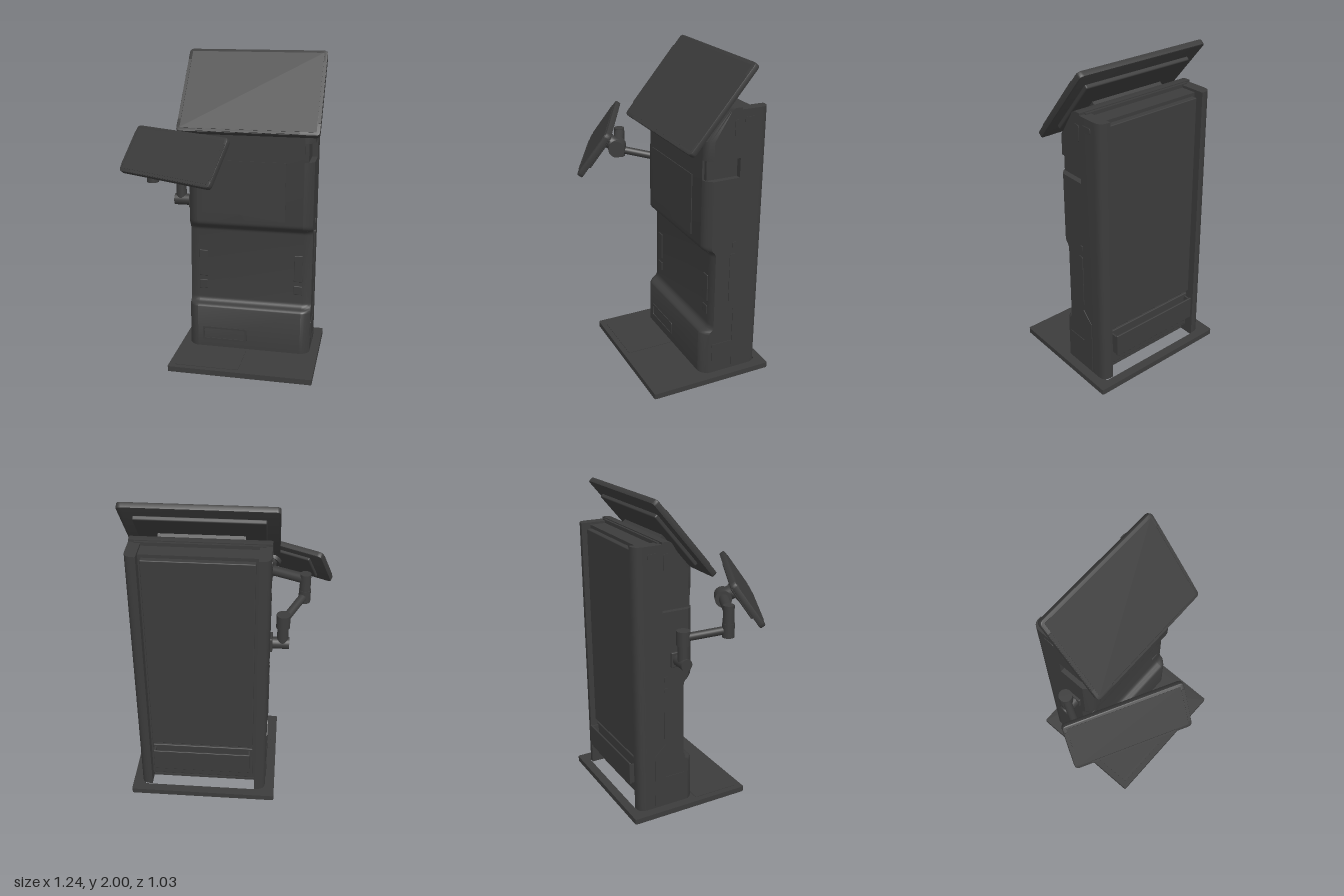
import * as THREE from 'three';
import { toCreasedNormals } from 'three/addons/utils/BufferGeometryUtils.js';
import { RoundedBoxGeometry } from 'three/addons/geometries/RoundedBoxGeometry.js';

const mat = new THREE.MeshStandardMaterial({ color: 0x3c3c3c, side: THREE.DoubleSide });
const CX = 0.155; // middle of the column
const V = (x, y, z) => new THREE.Vector3(x, y, z);

function add(parent, name, geo) {
  const m = new THREE.Mesh(geo, mat);
  m.name = name;
  parent.add(m);
  return m;
}

// box given by its limits
function box(parent, name, x0, x1, y0, y1, z0, z1, r = 0) {
  const s = [x1 - x0, y1 - y0, z1 - z0];
  const geo = r ? new RoundedBoxGeometry(...s, 2, r) : new THREE.BoxGeometry(...s);
  const m = add(parent, name, geo);
  m.position.set((x0 + x1) / 2, (y0 + y1) / 2, (z0 + z1) / 2);
  return m;
}

function roundRect(x0, x1, y0, y1, r, Type = THREE.Shape) {
  const s = new Type();
  s.moveTo(x0 + r, y0);
  s.lineTo(x1 - r, y0); s.quadraticCurveTo(x1, y0, x1, y0 + r);
  s.lineTo(x1, y1 - r); s.quadraticCurveTo(x1, y1, x1 - r, y1);
  s.lineTo(x0 + r, y1); s.quadraticCurveTo(x0, y1, x0, y1 - r);
  s.lineTo(x0, y0 + r); s.quadraticCurveTo(x0, y0, x0 + r, y0);
  return s;
}

function extrude(shape, depth, bevel = 0, steps = 1) {
  const geo = new THREE.ExtrudeGeometry(shape, {
    depth: depth - 2 * bevel, steps, curveSegments: 6, bevelEnabled: bevel > 0,
    bevelSize: bevel, bevelOffset: -bevel, bevelThickness: bevel, bevelSegments: 2,
  });
  geo.translate(0, 0, bevel);
  return toCreasedNormals(geo, 0.6);
}

// flat plate lying level; the shape is drawn in x and -z
const level = (shape, y0, y1) => extrude(shape, y1 - y0).rotateX(-Math.PI / 2).translate(0, y0, 0);
// side profile drawn in z and y, running from x0 to x1
const across = (shape, x0, x1, steps) => extrude(shape, x1 - x0, 0, steps).rotateY(-Math.PI / 2).translate(x1, 0, 0);

// pulls the front back towards the outer side, which rounds the column's front corners
function roundCorner(geo) {
  const p = geo.attributes.position;
  for (let i = 0; i < p.count; i++) {
    const t = THREE.MathUtils.clamp((Math.abs(p.getX(i) - CX) - 0.345) / 0.06, 0, 1);
    const k = THREE.MathUtils.clamp((p.getZ(i) + 0.155) / 0.09, 0, 1);
    p.setZ(i, p.getZ(i) - 0.045 * k * t * t);
  }
  return toCreasedNormals(geo, 0.6);
}

// cylinder between two points
function rod(parent, name, a, b, r) {
  const m = add(parent, name, new THREE.CylinderGeometry(r, r, a.distanceTo(b), 24));
  m.position.copy(a).lerp(b, 0.5);
  m.quaternion.setFromUnitVectors(V(0, 1, 0), b.clone().sub(a).normalize());
  return m;
}

// lower half of the front cover, with the kick-in between foot and chest
function lowerProfile(top) {
  const s = new THREE.Shape();
  s.moveTo(-0.28, 0.035); s.lineTo(-0.065, 0.035); s.lineTo(-0.065, 0.31);
  s.quadraticCurveTo(-0.067, 0.33, -0.095, 0.337);
  s.quadraticCurveTo(-0.125, 0.345, -0.125, 0.375);
  s.lineTo(-0.125, 0.84);
  s.quadraticCurveTo(-0.125, 0.865, -0.095, 0.878);
  s.quadraticCurveTo(-0.065, 0.89, -0.065, 0.92);
  s.lineTo(-0.065, top);
  return s;
}

function slopeTop(s) {
  s.lineTo(-0.065, 1.565); s.lineTo(-0.215, 1.735);
  s.quadraticCurveTo(-0.225, 1.748, -0.24, 1.748);
  s.lineTo(-0.28, 1.748);
  return s;
}

function buildBase(g) {
  const lower = roundRect(-0.31, 0.617, -0.285, 0.515, 0.012);
  lower.holes.push(roundRect(-0.27, 0.58, 0.08, 0.49, 0.06, THREE.Path));
  add(g, 'baseLower', level(lower, 0, 0.02));
  const upper = roundRect(-0.31, 0.617, -0.285, 0.515, 0.012);
  upper.holes.push(roundRect(-0.18, 0.54, 0.36, 0.46, 0.005, THREE.Path));
  upper.holes.push(roundRect(0.02, 0.29, 0.14, 0.27, 0.005, THREE.Path));
  add(g, 'baseUpper', level(upper, 0.02, 0.035));
  add(g, 'baseCover', level(roundRect(-0.27, 0.145, -0.25, 0.06, 0.02), 0.035, 0.038));
}

function buildColumn(g) {
  // centre of the front cover, and a core that backs the hand grip notches
  add(g, 'frontFace', across(slopeTop(lowerProfile(1.4)), -0.19, 0.5));
  const core = add(g, 'frontCore', across(slopeTop(lowerProfile(1.4)), -0.215, 0.525));
  core.position.set(0, -0.006, -0.014);

  // side layers, split by the hand grip notch
  for (const s of [-1, 1]) {
    const [x0, x1] = s < 0 ? [-0.25, -0.19] : [0.5, 0.56];
    const low = lowerProfile(1.33);
    low.lineTo(-0.28, 1.33);
    add(g, 'lowerSide', roundCorner(across(low, x0, x1, 4)));
    const high = new THREE.Shape();
    high.moveTo(-0.28, 1.45); high.lineTo(-0.065, 1.45);
    add(g, 'upperSide', roundCorner(across(slopeTop(high), x0, x1, 4)));

    // rear post with a rounded outer corner
    const X = (o) => CX + s * o;
    const post = new THREE.Shape();
    post.moveTo(X(0.335), 0.28); post.lineTo(X(0.405), 0.28); post.lineTo(X(0.405), 0.4);
    post.quadraticCurveTo(X(0.405), 0.456, X(0.35), 0.456);
    post.lineTo(X(0.335), 0.456);
    add(g, 'rearPost', level(post, 0.035, 1.735));

    // thin covers on the side faces
    const xs = X(0.405);
    const lap = new THREE.Shape();
    [[-0.27, 0.05], [-0.345, 0.05], [-0.345, 0.4], [-0.27, 0.47]].forEach(([z, y], i) =>
      i ? lap.lineTo(z, y) : lap.moveTo(z, y));
    add(g, 'sideLap', across(lap, xs - 0.004, xs + 0.004));
    const cover = (z0, z1, y0, y1, r) =>
      add(g, 'sideCover', across(roundRect(z0, z1, y0, y1, r), xs - 0.004, xs + 0.004));
    cover(-0.275, -0.235, 0.5, 0.85, 0.015);
    cover(-0.275, -0.13, 0.12, 0.24, 0.005);
    cover(-0.275, -0.235, 1.58, 1.68, 0.015);
    cover(-0.375, -0.3, 1.655, 1.69, 0.01);
    cover(-0.275, -0.25, 0.885, 0.925, 0.008);

    // clips on the recessed front
    for (const [y0, y1] of [[0.52, 0.7], [0.43, 0.49]])
      box(g, 'frontClip', X(0.317) - 0.028, X(0.317) + 0.028, y0, y1, -0.13, -0.12, 0.004);
  }

  // notched service door on the chest
  const door = new THREE.Shape();
  [[-0.155, 0.975], [0.1, 0.975], [0.13, 0.94], [0.385, 0.94], [0.385, 1.325], [-0.155, 1.325]]
    .forEach(([x, y], i) => (i ? door.lineTo(x, y) : door.moveTo(x, y)));
  add(g, 'serviceDoor', extrude(door, 0.01).translate(0, 0, -0.07));

  // slot frame in the foot
  const frame = roundRect(-0.157, 0.142, 0.085, 0.177, 0.015);
  frame.holes.push(roundRect(-0.145, 0.13, 0.097, 0.165, 0.01, THREE.Path));
  add(g, 'slotFrame', extrude(frame, 0.009).translate(0, 0, -0.069));

  // recessed rear wall and lower hatch
  box(g, 'rearBody', -0.19, 0.51, 0.075, 1.72, -0.395, -0.27);
  box(g, 'rearPanel', -0.165, 0.475, 0.37, 1.7, -0.428, -0.39, 0.005);
  box(g, 'lowerHatch', -0.165, 0.475, 0.1, 0.345, -0.415, -0.39, 0.005);

  // guard plate held off the hatch by two brackets
  box(g, 'guardPlate', -0.15, 0.465, 0.19, 0.34, -0.472, -0.46, 0.004);
  for (const x of [-0.15, 0.455]) box(g, 'guardBracket', x, x + 0.01, 0.2, 0.33, -0.465, -0.41);
}

// screen slab facing +z, with glass, edge strips and a rear housing
function buildScreen(name, w, h, t, housing) {
  const s = new THREE.Group();
  s.name = name;
  add(s, 'casing', extrude(roundRect(-w / 2, w / 2, -h / 2, h / 2, 0.028), t, 0.006).translate(0, 0, -t / 2));
  const glass = roundRect(-w / 2 + 0.022, w / 2 - 0.022, -h / 2 + 0.022, h / 2 - 0.022, 0.004);
  add(s, 'glass', extrude(glass, 0.004).translate(0, 0, t / 2 - 0.002));
  for (const e of [-1, 1]) {
    const x = e * (w / 2 - 0.012);
    box(s, 'edgeStrip', x - 0.009, x + 0.009, -h * 0.36, h * 0.36, t / 2 - 0.004, t / 2 + 0.003);
  }
  box(s, 'bottomStrip', -w * 0.36, w * 0.36, -h / 2 + 0.004, -h / 2 + 0.02, t / 2 - 0.004, t / 2 + 0.003);
  const [hw, hh, hd] = housing;
  box(s, 'rearHousing', -hw / 2, hw / 2, -hh / 2, hh / 2, -t / 2 - hd, -t / 2 + 0.005, 0.008);
  return s;
}

function buildArm(g) {
  const arm = new THREE.Group();
  arm.name = 'screenArm';
  g.add(arm);
  box(arm, 'wallPlate', -0.265, -0.245, 0.98, 1.075, -0.23, -0.14, 0.006);
  rod(arm, 'shoulder', V(-0.25, 1.025, -0.185), V(-0.367, 1.025, -0.185), 0.037);
  rod(arm, 'lowerPost', V(-0.325, 1.02, -0.185), V(-0.325, 1.15, -0.185), 0.034);
  rod(arm, 'lowerJoint', V(-0.325, 1.14, -0.185), V(-0.325, 1.23, -0.185), 0.042);
  rod(arm, 'link', V(-0.325, 1.185, -0.185), V(-0.45, 1.235, 0.045), 0.025);
  rod(arm, 'upperJoint', V(-0.45, 1.19, 0.045), V(-0.45, 1.275, 0.045), 0.037);
  rod(arm, 'upperPost', V(-0.45, 1.26, 0.045), V(-0.45, 1.385, 0.045), 0.034);
  rod(arm, 'crossLink', V(-0.45, 1.35, 0.045), V(-0.22, 1.345, 0.155), 0.032);
  rod(arm, 'tiltJoint', V(-0.245, 1.345, 0.14), V(-0.15, 1.345, 0.19), 0.052);
  rod(arm, 'screenNeck', V(-0.2, 1.35, 0.16), V(-0.245, 1.4, 0.235), 0.045);
}

export function createModel() {
  const g = new THREE.Group();
  g.name = 'kiosk';
  buildBase(g);
  buildColumn(g);

  // large tilted screen on top, with its bracket
  const main = buildScreen('mainScreen', 0.89, 0.617, 0.036, [0.74, 0.415, 0.023]);
  main.position.set(CX, 1.753, -0.143);
  main.rotation.x = -THREE.MathUtils.degToRad(40);
  box(main, 'bracket', -0.25, 0.25, -0.15, 0.03, -0.08, -0.03);
  g.add(main);

  // small swivelling screen on the arm
  buildArm(g);
  const side = buildScreen('sideScreen', 0.73, 0.322, 0.036, [0.56, 0.22, 0.018]);
  side.position.set(-0.256, 1.407, 0.257);
  side.rotation.order = 'YXZ';
  side.rotation.set(-THREE.MathUtils.degToRad(35), -THREE.MathUtils.degToRad(27.3), 0);
  const disc = add(side, 'mountDisc', new THREE.CylinderGeometry(0.06, 0.06, 0.03, 24).rotateX(Math.PI / 2));
  disc.position.z = -0.045;
  g.add(side);
  return g;
}
